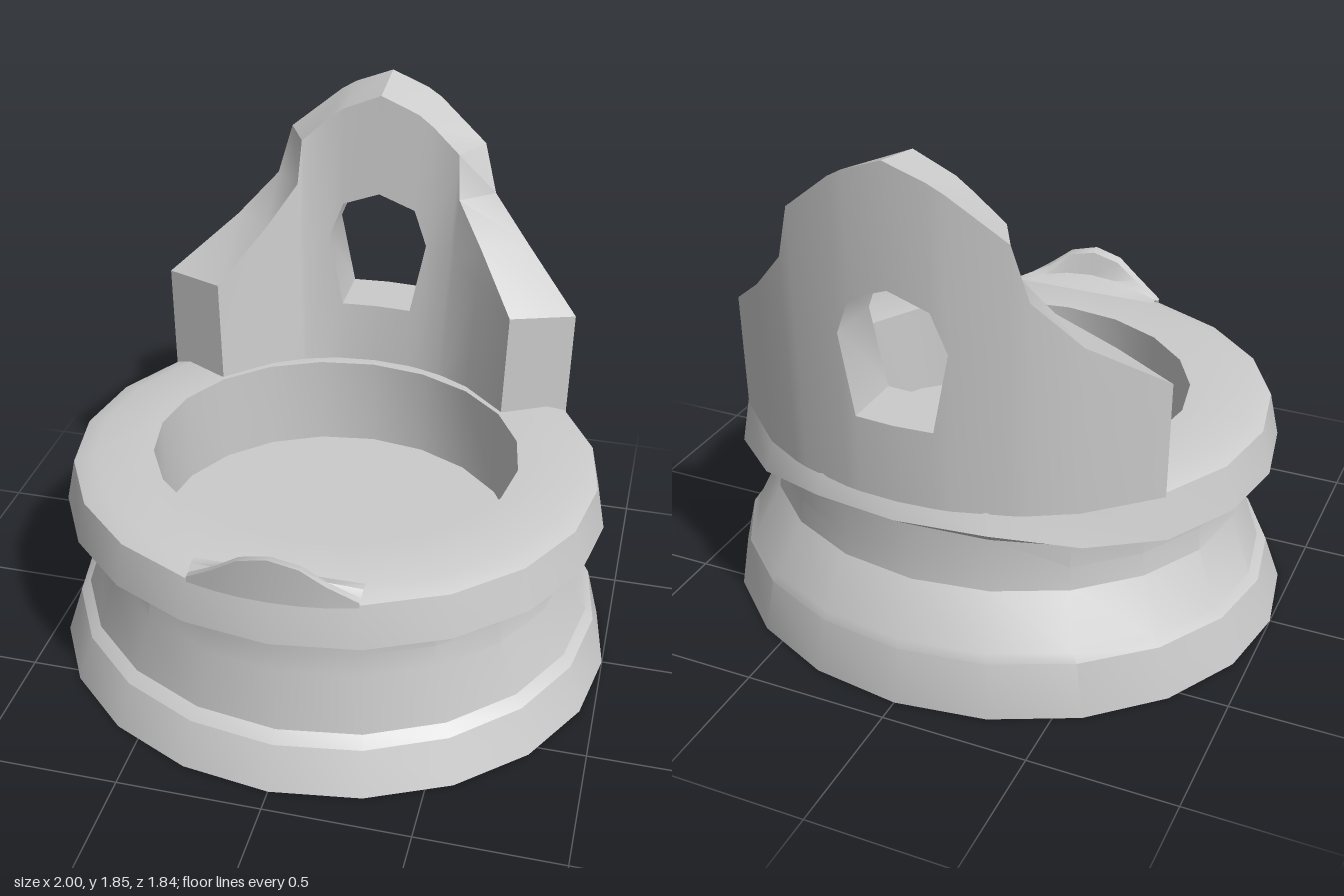
import * as THREE from 'three';
import { toCreasedNormals } from 'three/addons/utils/BufferGeometryUtils.js';

const material = new THREE.MeshStandardMaterial({ color: 0xcccccc, side: THREE.DoubleSide });
const SIDES = 20;

function addMesh(group, geometry, name, crease = 0.6) {
  const mesh = new THREE.Mesh(toCreasedNormals(geometry, crease), material);
  mesh.name = name;
  group.add(mesh);
}

// Turned part squashed in depth; profile rows are [radius, y, z offset, tilt, back rise]
function turned(profile, depth) {
  const g = new THREE.LatheGeometry(profile.map(([r, y]) => new THREE.Vector2(r, y)), SIDES);
  const p = g.attributes.position;
  for (let i = 0; i < p.count; i++) {
    const [, y, offset = 0, tilt = 0, rise = 0] = profile[i % profile.length];
    const z = p.getZ(i) * depth + offset;
    const back = THREE.MathUtils.clamp((-z - 0.5) / 0.35, 0, 1);
    p.setY(i, y - tilt * z + rise * back * back);
    p.setZ(i, z);
  }
  return g;
}

// Collects quads as triangles, dropping collapsed ones
function quadBuilder() {
  const out = [];
  const tri = (a, b, c) => {
    const n = b.clone().sub(a).cross(c.clone().sub(a));
    if (n.length() > 1e-7) for (const v of [a, b, c]) out.push(v.x, v.y, v.z);
  };
  return {
    quad(a, b, c, d) { tri(a, b, c); tri(a, c, d); },
    build() {
      const g = new THREE.BufferGeometry();
      g.setAttribute('position', new THREE.Float32BufferAttribute(out, 3));
      return g;
    },
  };
}

// Curved backrest made of columns, mirrored about the middle
function backrest() {
  // [inner angle, outer angle, inner top, outer top, window bottom, window top, inner lean]
  const half = [
    [0, 0, 1.83, 1.86, 1.01, 1.46, 0.06],
    [11.3, 8.1, 1.77, 1.81, 1.01, 1.41, 0.09],
    [15.5, 11.3, 1.73, 1.78, 1.28, 1.28, 0.11],
    [23.3, 22.6, 1.64, 1.64, 1.28, 1.28, 0.157],
    [25, 26, 1.48, 1.46, 1.25, 1.25, 0.145],
    [35.5, 36, 1.33, 1.31, 1.2, 1.2, 0.126],
    [55, 54.5, 1.16, 1.14, 1.0, 1.0, 0.05],
  ];
  const columns = [...half.slice(1).reverse().map(([a, b, ...r]) => [-a, -b, ...r]), ...half]
    .map(([a, b, topIn, topOut, lo, hi, lean]) => {
      const inner = y => {
        const t = THREE.MathUtils.degToRad(a), s = 1 + (y - 0.78) * lean;
        return new THREE.Vector3(0.645 * s * Math.sin(t), y, -0.025 - 0.615 * s * Math.cos(t));
      };
      const outer = y => {
        const t = THREE.MathUtils.degToRad(b), s = 1 + (y - 0.74) * 0.02;
        return new THREE.Vector3(0.925 * s * Math.sin(t), y, -0.855 * s * Math.cos(t));
      };
      return { inner: [0.78, lo, hi, topIn].map(inner), outer: [0.74, lo, hi, topOut].map(outer) };
    });
  const q = quadBuilder();
  columns.slice(1).forEach((b, i) => {
    const a = columns[i];
    // Front and rear skins, below and above the window
    for (const k of [0, 2]) {
      q.quad(a.inner[k], b.inner[k], b.inner[k + 1], a.inner[k + 1]);
      q.quad(a.outer[k], a.outer[k + 1], b.outer[k + 1], b.outer[k]);
    }
    // Crest and window edges
    q.quad(a.inner[3], b.inner[3], b.outer[3], a.outer[3]);
    if (a.inner[2].y > a.inner[1].y || b.inner[2].y > b.inner[1].y) {
      q.quad(a.inner[1], b.inner[1], b.outer[1], a.outer[1]);
      q.quad(a.outer[2], b.outer[2], b.inner[2], a.inner[2]);
    }
  });
  // End faces
  const first = columns[0], last = columns[columns.length - 1];
  for (let k = 0; k < 3; k++) {
    q.quad(last.inner[k], last.outer[k], last.outer[k + 1], last.inner[k + 1]);
    q.quad(first.inner[k + 1], first.outer[k + 1], first.outer[k], first.inner[k]);
  }
  return q.build();
}

// Small raised crest on the front of the rim
function frontLip() {
  const half = [[0, 0.915], [0.1, 0.89], [0.18, 0.83], [0.28, 0.765]];
  const stations = [...half.slice(1).reverse().map(([x, h]) => [-x, h]), ...half];
  const section = ([x, h]) => {
    const z = 0.855 * Math.sqrt(1 - (x / 0.93) ** 2);
    const k = (h - 0.765) / 0.15;
    return [[0.745, z], [h, z + 0.01 * k], [h - 0.01 * k, z - 0.025],
      [0.782 + 0.038 * k, z - 0.05], [0.781, 0.735]]
      .map(([y, zz]) => new THREE.Vector3(x, y, zz));
  };
  const q = quadBuilder();
  for (let i = 0; i < stations.length - 1; i++) {
    const s = section(stations[i]), t = section(stations[i + 1]);
    for (let j = 0; j < s.length - 1; j++) q.quad(s[j], t[j], t[j + 1], s[j + 1]);
  }
  return q.build();
}

export function createModel() {
  const group = new THREE.Group();
  group.name = 'roundSeat';

  // Hollow flared pedestal, its foot step tilted up and back
  addMesh(group, turned([
    [1, 0.008], [0.95, 0.18, -0.02, 0.03], [0.92, 0.21, -0.035, 0.03],
    [0.84, 0.4], [0.83, 0.48], [0.835, 0.56, 0, 0, 0.08],
  ], 0.92), 'pedestal', 0.35);

  // Overhanging rim, its lower edge lifting at the back
  addMesh(group, turned([
    [0.835, 0.555, 0, 0, 0.085], [0.955, 0.6, 0, 0, 0.085], [0.922, 0.752],
    [0.85, 0.778], [0.645, 0.778, -0.015],
  ], 0.92), 'rim', 0.5);

  // Sunken well and its floor
  addMesh(group, turned([
    [0.645, 0.778, -0.015], [0.645, 0.43, -0.015], [0, 0.43, -0.015],
  ], 0.945), 'well');

  addMesh(group, backrest(), 'backrest');
  addMesh(group, frontLip(), 'frontLip');
  return group;
}
